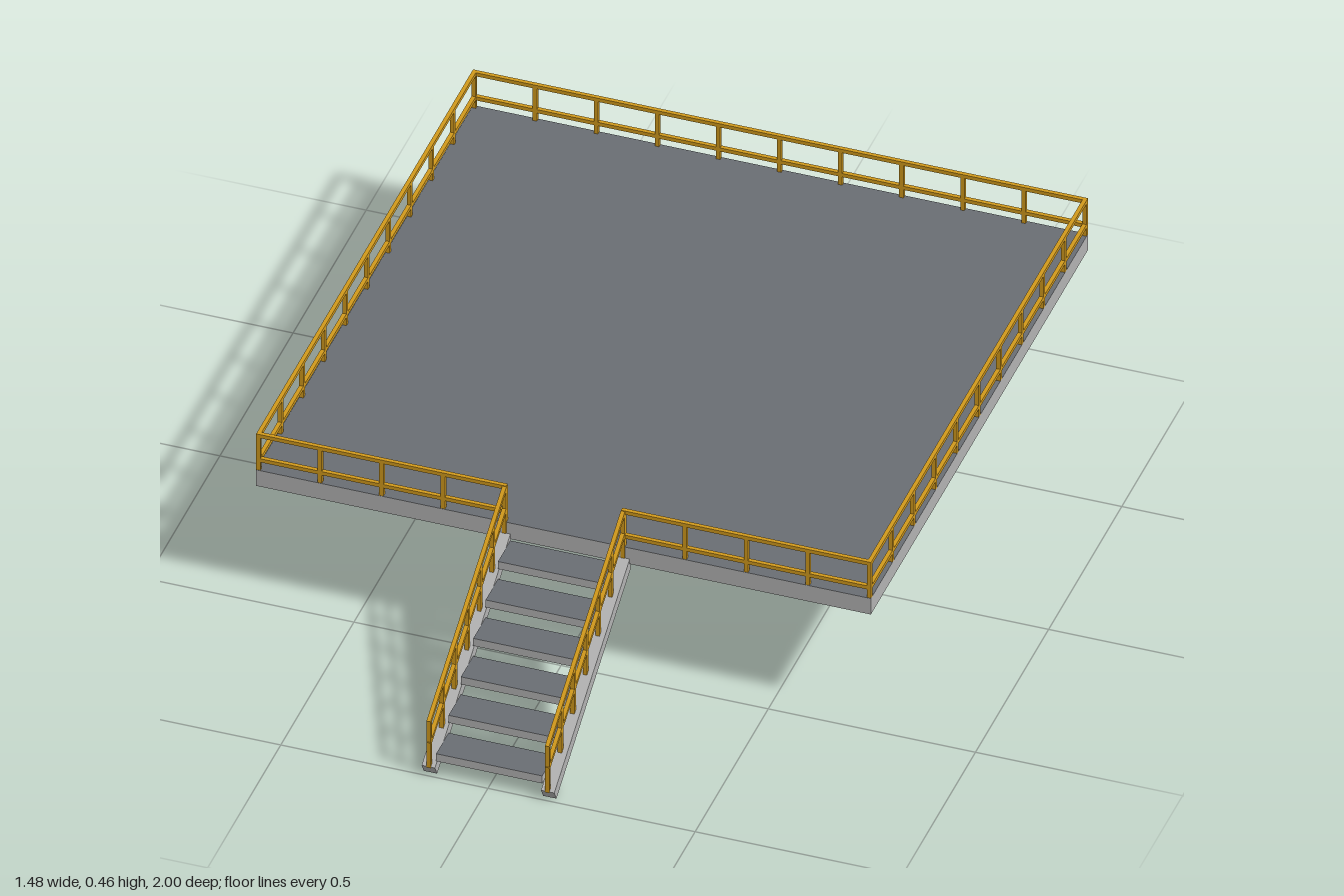
import * as THREE from 'three';

export function createModel() {
  const model = new THREE.Group();
  const mat = (name, color) => {
    const m = new THREE.MeshStandardMaterial({ color });
    m.name = name;
    return m;
  };
  const steel = mat('light grey steel', 0xb4b4b4);
  const plate = mat('dark grey walking surface', 0x6a6e74);
  const yellow = mat('safety yellow', 0xd29a1c);

  const add = (parent, name, geometry, material) => {
    const mesh = new THREE.Mesh(geometry, material);
    mesh.name = name;
    parent.add(mesh);
    return mesh;
  };
  const group = (name) => {
    const g = new THREE.Group();
    g.name = name;
    model.add(g);
    return g;
  };

  // Box with a dark walking surface on its top face
  const slab = (parent, name, w, h, d, y, z) =>
    add(parent, name, new THREE.BoxGeometry(w, h, d), [steel, steel, plate, steel, steel, steel])
      .position.set(0, y, z);

  // Square bar between two points
  const bar = (parent, name, a, b, t = 0.01) => {
    const p = new THREE.Vector3(...a), q = new THREE.Vector3(...b);
    const mesh = add(parent, name, new THREE.BoxGeometry(t, t, p.distanceTo(q) + t * 0.9), yellow);
    mesh.position.copy(p).add(q).multiplyScalar(0.5);
    mesh.lookAt(q);
  };

  // Platform
  const DECK = 0.36, RAIL = 0.456, MID = 0.388;
  slab(model, 'platform', 1.484, 0.045, 1.484, DECK - 0.0225, -0.258);

  // Straight guard rail run: posts, mid rail and top rail
  const railRun = (name, [x0, z0], [x1, z1], bays) => {
    const g = group(name);
    for (const [part, y] of [['topRail', RAIL], ['midRail', MID]]) {
      bar(g, part, [x0, y, z0], [x1, y, z1]);
    }
    for (let i = 0; i <= bays; i++) {
      const x = x0 + (x1 - x0) * i / bays, z = z0 + (z1 - z0) * i / bays;
      add(g, 'post', new THREE.BoxGeometry(0.01, RAIL - DECK, 0.01), yellow)
        .position.set(x, (RAIL + DECK) / 2, z);
    }
  };
  const X = 0.737, FRONT = 0.478, BACK = -0.995, GATE = 0.143;
  railRun('backRailing', [-X, BACK], [X, BACK], 10);
  for (const s of [1, -1]) {
    const side = s > 0 ? 'left' : 'right';
    railRun(side + 'Railing', [s * X, BACK], [s * X, FRONT], 10);
    railRun(side + 'FrontRailing', [s * GATE, FRONT], [s * X, FRONT], 4);
  }

  // Stairs: height of the stringer's top edge at a given z
  const stairs = group('stairs');
  const SLOPE = 0.587;
  const edge = (z) => 0.026 + (1 - z) * SLOPE;

  // Treads
  for (let i = 0; i < 6; i++) {
    slab(stairs, 'tread', 0.256, 0.021, 0.085, 0.05 + i * 0.05, 0.949 - i * 0.0845);
  }

  // Sloped stringers, profile drawn in (z, y) and extruded across x
  const profile = new THREE.Shape([
    [1, 0.026], [0.48, edge(0.48)], [0.48, edge(0.48) - 0.035], [0.985, 0],
  ].map(([z, y]) => new THREE.Vector2(-z, y)));
  const stringer = new THREE.ExtrudeGeometry(profile, { depth: 0.032, bevelEnabled: false });
  stringer.translate(0, 0, -0.016).rotateY(Math.PI / 2);

  for (const s of [1, -1]) {
    add(stairs, 'stringer', stringer, steel).position.x = s * 0.144;

    // Sloped handrails and upright posts
    const x = s * GATE, z0 = 0.995, z1 = 0.48;
    for (const [part, up] of [['handrail', 0.124], ['stairMidRail', 0.064]]) {
      bar(stairs, part, [x, edge(z0) + up, z0], [x, edge(z1) + up, z1]);
    }
    for (let i = 0; i < 7; i++) {
      const z = z0 + (z1 - z0) * i / 6;
      add(stairs, 'stairPost', new THREE.BoxGeometry(0.01, 0.13, 0.01), yellow)
        .position.set(x, edge(z) + 0.059, z);
    }
  }
  return model;
}
